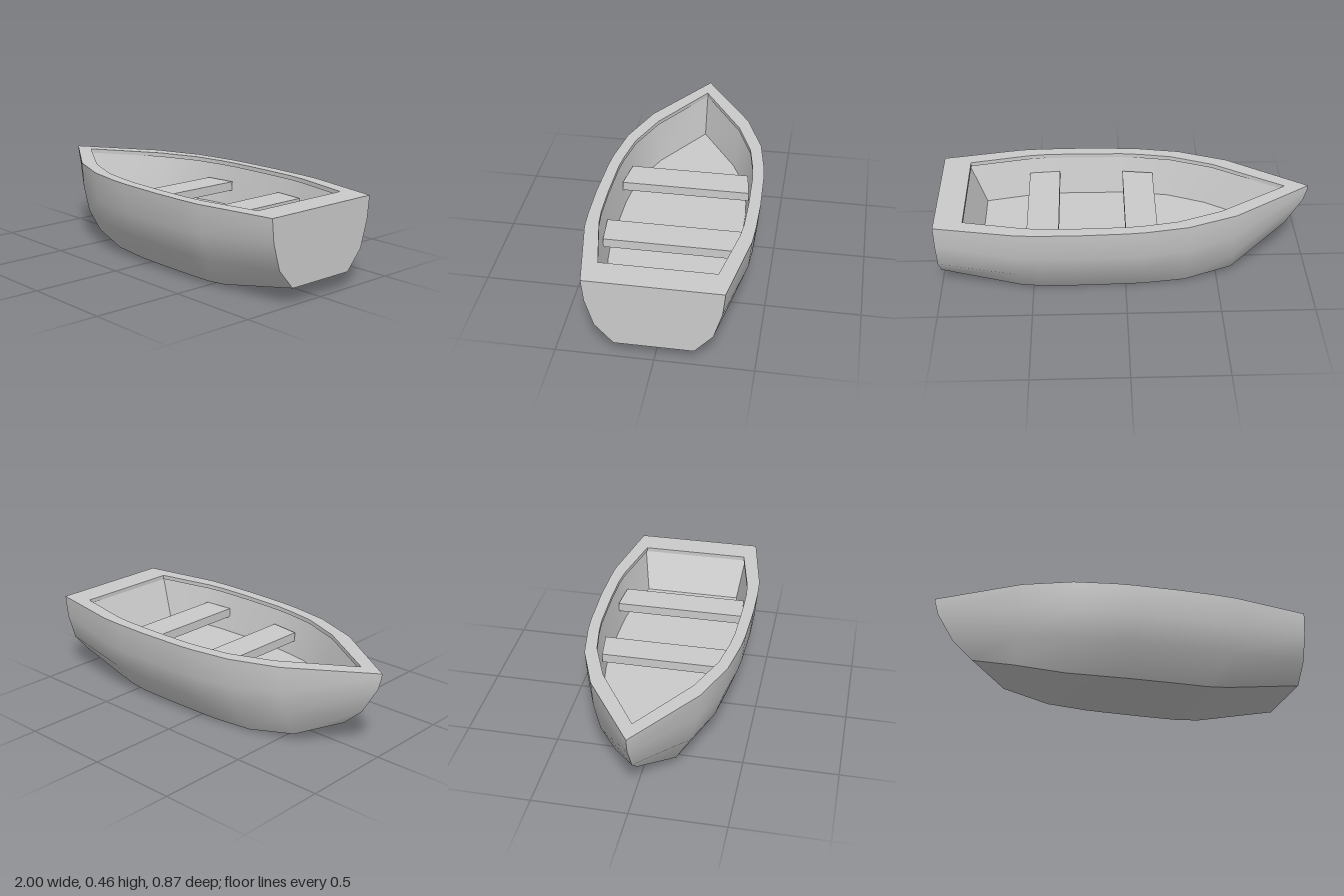
import * as THREE from 'three';
import { toCreasedNormals } from 'three/addons/utils/BufferGeometryUtils.js';

const material = new THREE.MeshStandardMaterial({ color: 0xcccccc });

// Turns rows of [x, y, z] points into a surface
function surface(name, rows) {
  const n = rows[0].length, index = [];
  for (let r = 0; r < rows.length - 1; r++) {
    for (let i = 0; i < n - 1; i++) {
      const a = r * n + i, b = a + n;
      index.push(a, b, a + 1, a + 1, b, b + 1);
    }
  }
  const geometry = new THREE.BufferGeometry();
  geometry.setAttribute('position', new THREE.Float32BufferAttribute(rows.flat(2), 3));
  geometry.setIndex(index);
  const mesh = new THREE.Mesh(toCreasedNormals(geometry, 0.62), material);
  mesh.name = name;
  return mesh;
}

const mirror = side => side.map(([x, y, z]) => [x, y, -z]);

// Closed loop: stern to bow on the left side, back along the right, across the stern
const loop = side => [...side, ...mirror(side.slice(0, -1)).reverse(), side[0]];

// Hull stations from stern to bow: x, relative width, keel height
const stations = [
  [1, 0.8, 0.087], [0.57, 0.98, 0.01], [0.45, 0.995, 0], [0.25, 1, 0], [0, 0.98, 0],
  [-0.1, 0.96, 0], [-0.32, 0.874, 0.005], [-0.58, 0.645, 0.045]
];
// Hull levels from bottom to rim: half width, height amidships, rise with keel, stem x and y
const levels = [
  [0.25, 0, 1, -0.78, 0.12],
  [0.367, 0.158, 0.4, -0.89, 0.22],
  [0.42, 0.3, 0.42, -0.98, 0.37],
  [0.433, 0.437, 0, -0.998, 0.437],
  [0.435, 0.46, 0, -1, 0.46]
];
// Inside edges from stern to bow: x, half width
const rimInner = [[0.85, 0.295], [0.53, 0.36], [0.43, 0.37], [0.25, 0.372], [0, 0.366],
  [-0.1, 0.355], [-0.27, 0.325], [-0.5, 0.235], [-0.87, 0]];
const floorEdge = [[0.77, 0.27], [0.51, 0.326], [0.42, 0.336], [0.25, 0.34], [0, 0.335],
  [-0.1, 0.325], [-0.26, 0.298], [-0.46, 0.215], [-0.79, 0]];
const atHeight = (edge, y, grow = 0) =>
  edge.map(([x, z]) => [x + Math.sign(x) * grow, y, z ? z + grow : 0]);

// Plank with ends cut to follow the sides
function seat(name, x0, z0, x1, z1) {
  const shape = new THREE.Shape([[x0, z0], [x1, z1], [x1, -z1], [x0, -z0]]
    .map(p => new THREE.Vector2(...p)));
  const geometry = new THREE.ExtrudeGeometry(shape, { depth: 0.05, bevelEnabled: false });
  geometry.rotateX(-Math.PI / 2);
  const mesh = new THREE.Mesh(geometry, material);
  mesh.name = name;
  mesh.position.y = 0.305;
  return mesh;
}

export function createModel() {
  const boat = new THREE.Group();
  boat.name = 'rowingBoat';

  // Outer shell with flat bottom and transom
  const sides = levels.map(([w, y, rise, stemX, stemY]) => [
    ...stations.map(([x, k, keel]) => [x, y + rise * keel, w * k]),
    [stemX, stemY, 0]
  ]);
  boat.add(surface('hull', sides.map(loop)));
  boat.add(surface('bottom', [mirror(sides[0]), sides[0]]));

  // Flat rim with a short lip overhanging the inner walls
  const lip = atHeight(rimInner, 0.437);
  const wallTop = atHeight(rimInner, 0.437, 0.008);
  boat.add(surface('gunwale',
    [sides[4], atHeight(rimInner, 0.46), lip, wallTop].map(loop)));

  // Inside walls and floor
  const floor = atHeight(floorEdge, 0.22);
  boat.add(surface('innerWalls', [wallTop, floor].map(loop)));
  boat.add(surface('floor', [floor, mirror(floor)]));

  // Benches
  boat.add(seat('frontSeat', -0.17, 0.325, 0, 0.348));
  boat.add(seat('rearSeat', 0.355, 0.358, 0.525, 0.345));
  return boat;
}
